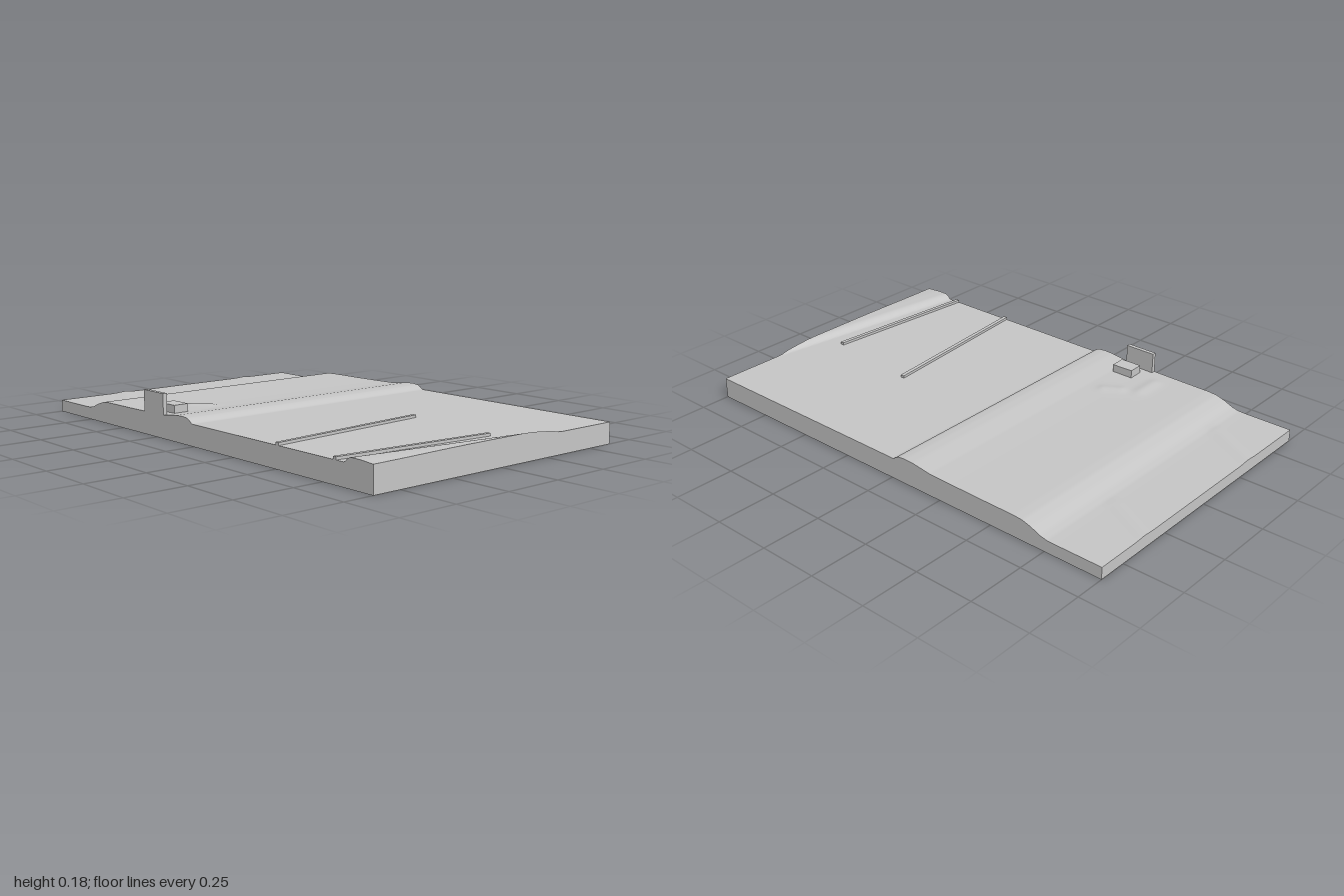
import * as THREE from 'three';

const W = 1.245, L = 2, WATER = 0.087;
const smooth = THREE.MathUtils.smoothstep;

// Cross-section of the land from back to front: [z, height]
const PROFILE = [
  [-1, 0.05], [-0.8, 0.05], [-0.76, 0.051], [-0.73, 0.058], [-0.69, 0.075], [-0.65, 0.087],
  [-0.61, 0.09], [-0.45, 0.091], [-0.3, 0.093], [-0.2, 0.095], [-0.15, 0.102], [-0.11, 0.107],
  [-0.07, 0.108], [-0.04, 0.105], [-0.025, 0.098], [-0.012, WATER], [1, WATER],
];

function profileHeight(z) {
  let i = 0;
  while (i < PROFILE.length - 2 && z > PROFILE[i + 1][0]) i++;
  const [z0, y0] = PROFILE[i], [z1, y1] = PROFILE[i + 1];
  return THREE.MathUtils.lerp(y0, y1, THREE.MathUtils.clamp((z - z0) / (z1 - z0), 0, 1));
}

// Soft hump stretched along a line from (ax, az) to (bx, bz)
function ridge(x, z, ax, az, bx, bz, r, h) {
  const dx = bx - ax, dz = bz - az;
  const t = THREE.MathUtils.clamp(((x - ax) * dx + (z - az) * dz) / (dx * dx + dz * dz), 0, 1);
  const d = Math.hypot(x - ax - t * dx, z - az - t * dz);
  return h * Math.exp(-((d / r) ** 2));
}

function height(x, z) {
  let y = profileHeight(z);
  if (z < -0.1) {
    // low mounds behind the dike and faint tracks on the lower ground
    y += ridge(x, z, -0.53, -0.4, -0.43, -0.4, 0.028, 0.007);
    y += ridge(x, z, -0.39, -0.33, -0.35, -0.27, 0.024, 0.007);
    y += ridge(x, z, -0.42, -0.78, -0.3, -1, 0.03, 0.004);
    y += ridge(x, z, 0.28, -0.8, 0.38, -1, 0.03, 0.003);
  }
  // bank rising across the front corner
  const inside = z - (0.86 + (x + W / 2) * 0.147);
  if (inside > 0) y += 0.021 * smooth(inside, -0.012, 0.032) * smooth(inside, 0, 0.008) - 0.004 * smooth(inside, 0.07, 0.14);
  return y;
}

function box(name, w, h, d, x, y, z, material, turn = 0) {
  const mesh = new THREE.Mesh(new THREE.BoxGeometry(w, h, d), material);
  mesh.name = name;
  mesh.position.set(x, y, z);
  mesh.rotation.y = turn;
  return mesh;
}

// Straight breakwater that starts flush with the left-hand edge of the slab
function groyne(name, z0, x1, z1, material) {
  const x0 = -W / 2, half = 0.0085;
  const shape = new THREE.Shape([
    new THREE.Vector2(x0, -z0 - half), new THREE.Vector2(x1, -z1 - half),
    new THREE.Vector2(x1, -z1 + half), new THREE.Vector2(x0, -z0 + half),
  ]);
  const geometry = new THREE.ExtrudeGeometry(shape, { depth: 0.017, bevelEnabled: false });
  geometry.rotateX(-Math.PI / 2);
  const mesh = new THREE.Mesh(geometry, material);
  mesh.name = name;
  mesh.position.y = 0.081;
  return mesh;
}

export function createModel() {
  const group = new THREE.Group();
  group.name = 'coastModel';
  const grey = new THREE.MeshStandardMaterial({ color: 0xc4c4c4 });
  grey.name = 'plainGrey';

  // Terrain slab: the upper vertices follow the height rule
  const geometry = new THREE.BoxGeometry(W, 1, L, 80, 1, 250);
  const p = geometry.attributes.position;
  for (let i = 0; i < p.count; i++) {
    p.setY(i, p.getY(i) > 0 ? height(p.getX(i), p.getZ(i)) : 0);
  }
  geometry.computeVertexNormals();
  const terrain = new THREE.Mesh(geometry, grey);
  terrain.name = 'terrain';
  group.add(terrain);

  // Breakwaters on the beach
  group.add(groyne('upperGroyne', 0.507, 0.122, 0.441, grey));
  group.add(groyne('lowerGroyne', 0.811, 0.068, 0.876, grey));

  // Buildings behind the dike
  group.add(box('tallBuilding', 0.018, 0.11, 0.135, -W / 2 + 0.009, 0.125, -0.27, grey));
  group.add(box('lowBuilding', 0.066, 0.047, 0.094, -0.537, 0.1035, -0.252, grey, 0.03));
  return group;
}
